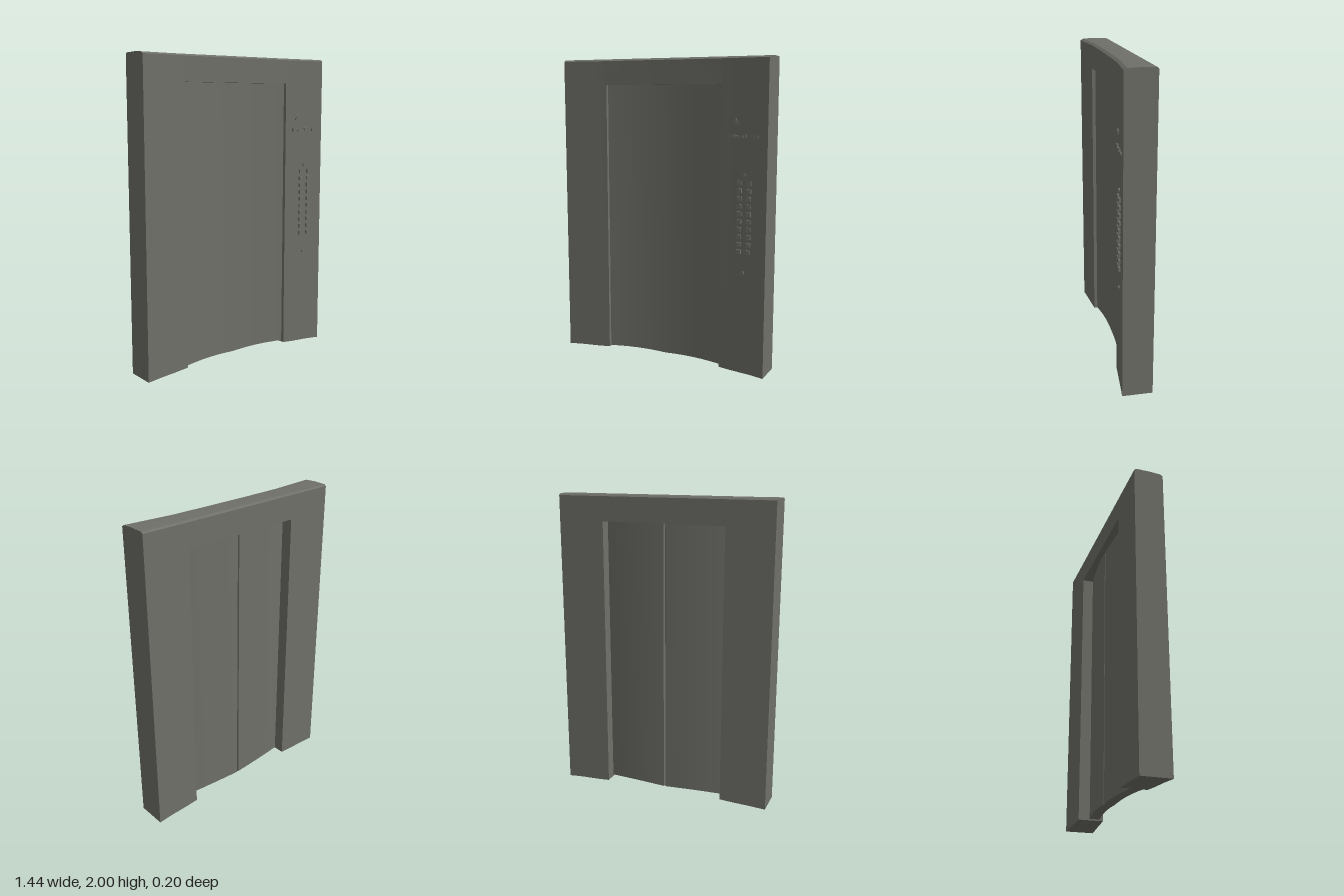
import * as THREE from 'three';
import { toCreasedNormals } from 'three/addons/utils/BufferGeometryUtils.js';

const OPEN = 0.41; // half width of the doorway

// Joins (z, y) section rings placed along x into a closed solid
function loft(stations) {
  const pos = [];
  const tri = (...pts) => pts.forEach((p) => pos.push(...p));
  const rings = stations.map(({ x, ring }) => ring.map(([z, y]) => [x, y, z]));
  const n = rings[0].length;
  for (let s = 0; s < rings.length - 1; s++) {
    for (let i = 0; i < n; i++) {
      const j = (i + 1) % n;
      const a = rings[s][i], b = rings[s + 1][i], c = rings[s + 1][j], d = rings[s][j];
      tri(a, d, c);
      tri(a, c, b);
    }
  }
  const first = rings[0], last = rings[rings.length - 1];
  for (let i = 1; i < n - 1; i++) {
    tri(last[0], last[i], last[i + 1]);
    tri(first[0], first[i + 1], first[i]);
  }
  const geo = new THREE.BufferGeometry();
  geo.setAttribute('position', new THREE.Float32BufferAttribute(pos, 3));
  return toCreasedNormals(geo, 0.45);
}

// Front face: shallow in the middle, flaring forward at the outer edges
function frontZ(x) {
  const a = Math.abs(x);
  return a < OPEN ? 0.063 + 0.004 * (a / OPEN) ** 2 : 0.067 + 0.027 * (a - OPEN) / (0.72 - OPEN);
}

// Cross-section of the frame with softened top edges
function frameRing(x, bottom) {
  const f = frontZ(x), b = -0.098;
  return [[f, bottom], [b, bottom], [b, 1.988], [b + 0.01, 1.998],
    [0, 2], [f - 0.018, 1.996], [f, 1.985]];
}

export function createModel() {
  const group = new THREE.Group();
  const metal = new THREE.MeshStandardMaterial({ color: 0x70706a });
  metal.name = 'dull grey metal';

  const add = (name, geo, x = 0, y = 0, z = 0, parent = group) => {
    const mesh = new THREE.Mesh(geo, metal);
    mesh.name = name;
    mesh.position.set(x, y, z);
    parent.add(mesh);
    return mesh;
  };

  // Frame: two jambs and the header in one sweep, stepping up over the doorway
  const stations = [
    [-0.72, 0.01], [-0.62, 0.016], [-0.5, 0.02], [-OPEN, 0.025],
    [-OPEN, 1.83], [-0.2, 1.83], [0, 1.83], [0.2, 1.83], [OPEN, 1.83],
    [OPEN, 0.018], [0.5, 0.012], [0.62, 0.008], [0.72, 0],
  ].map(([x, bottom]) => ({ x, ring: frameRing(x, bottom) }));
  add('frame', loft(stations));

  // Two sliding door leaves on a shared arc, set deepest at the middle seam
  for (const side of [-1, 1]) {
    const leaf = [0, 0.006, 0.07, 0.14, 0.21, 0.28, 0.35, OPEN].map((a) => {
      const t = a / OPEN;
      const front = 0.01 + 0.035 * t * t;
      const back = a === 0 ? -0.045 : front - 0.068;
      const low = 0.028 + 0.006 * Math.sin(t * Math.PI);
      return { x: side * a, ring: [[front, low], [back, low], [back, 1.835], [front, 1.835]] };
    });
    if (side < 0) leaf.reverse();
    add(side < 0 ? 'rightDoorLeaf' : 'leftDoorLeaf', loft(leaf));
  }

  // Call panel: two columns of raised buttons
  const panel = new THREE.Group();
  panel.name = 'buttonPanel';
  group.add(panel);
  const button = new THREE.BoxGeometry(0.028, 0.026, 0.022);
  for (const x of [0.542, 0.605]) {
    for (let row = 0; row < 10; row++) {
      add('button', button, x, 0.8 + row * 0.048, frontZ(x) + 0.002, panel);
    }
  }

  // Indicator lamp above the buttons and key switch below
  const disc = new THREE.CylinderGeometry(0.012, 0.012, 0.02, 10).rotateX(Math.PI / 2);
  add('indicatorLamp', disc, 0.57, 1.28, frontZ(0.57), panel);
  add('keySwitch', disc, 0.57, 0.665, frontZ(0.57), panel);

  // Small relief plate: a triangular arrow over a broken ledge
  const plate = new THREE.Group();
  plate.name = 'reliefPlate';
  group.add(plate);
  const arrow = new THREE.CylinderGeometry(0.026, 0.026, 0.018, 3)
    .rotateY(Math.PI).rotateX(Math.PI / 2);
  add('arrow', arrow, 0.51, 1.6, frontZ(0.51), plate);
  for (const [x, y, w, h] of [[0.485, 1.52, 0.04, 0.02], [0.535, 1.515, 0.05, 0.016],
    [0.575, 1.52, 0.02, 0.024], [0.645, 1.517, 0.03, 0.016]]) {
    add('ledge', new THREE.BoxGeometry(w, h, 0.02), x, y, frontZ(x), plate);
  }
  return group;
}
